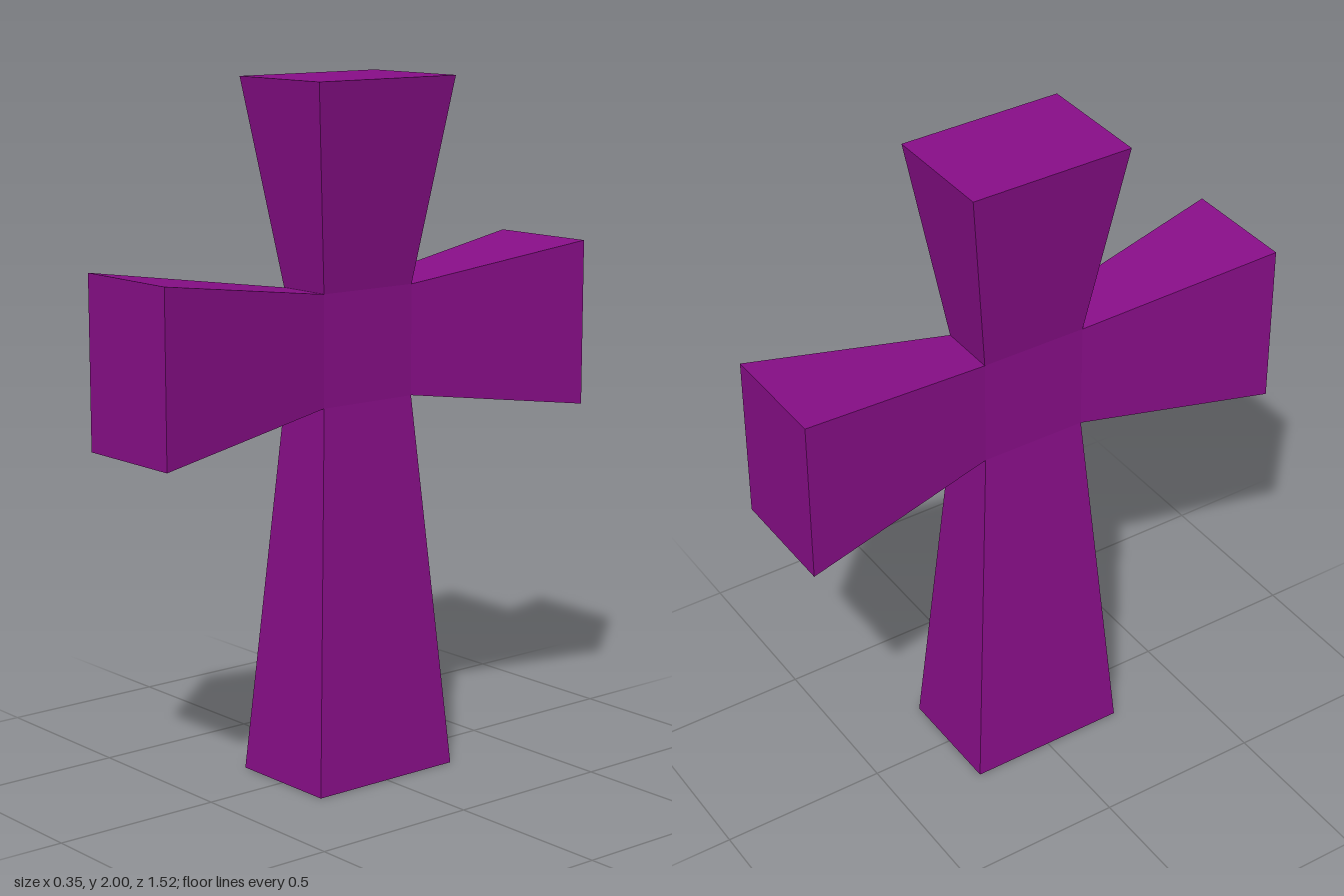
import * as THREE from 'three';

const INNER_X = 0.088, INNER = 0.16;  // half sizes of the crossing
const OUTER_X = 0.174, OUTER = 0.245; // half sizes of each arm's end
const CROSS_Y = 1.253;

// Keep only the listed box faces (0 +x, 1 -x, 2 +y, 3 -y, 4 +z, 5 -z)
function keepFaces(geo, faces) {
  const all = Array.from(geo.index.array);
  geo.setIndex(faces.flatMap((f) => all.slice(f * 6, f * 6 + 6)));
  geo.clearGroups();
  return geo;
}

// Arm that flares from the crossing to its end along +y
function flaredArm(length) {
  const geo = new THREE.BoxGeometry(2, length, 2).translate(0, length / 2, 0);
  const p = geo.attributes.position;
  for (let i = 0; i < p.count; i++) {
    const end = p.getY(i) > length / 2;
    p.setX(i, p.getX(i) * (end ? OUTER_X : INNER_X));
    p.setZ(i, p.getZ(i) * (end ? OUTER : INNER));
  }
  keepFaces(geo, [0, 1, 2, 4, 5]);
  geo.computeVertexNormals();
  return geo;
}

export function createModel() {
  const group = new THREE.Group();
  group.name = 'cross';
  const purple = new THREE.MeshStandardMaterial({ color: 0x870e87 });
  purple.name = 'purple';

  // Crossing, open where the arms join
  const crossing = new THREE.Mesh(
    keepFaces(new THREE.BoxGeometry(INNER_X * 2, INNER * 2, INNER * 2), [0, 1]), purple);
  crossing.name = 'crossing';
  crossing.position.y = CROSS_Y;
  group.add(crossing);

  // Four arms: name, length, turn about x
  const arms = [
    ['topArm', 2 - CROSS_Y - INNER, 0],
    ['frontArm', 0.76 - INNER, Math.PI / 2],
    ['lowerShaft', CROSS_Y - INNER, Math.PI],
    ['backArm', 0.76 - INNER, -Math.PI / 2],
  ];
  for (const [name, length, turn] of arms) {
    const arm = new THREE.Mesh(flaredArm(length), purple);
    arm.name = name;
    arm.rotation.x = turn;
    arm.position.set(0, CROSS_Y + Math.cos(turn) * INNER, Math.sin(turn) * INNER);
    group.add(arm);
  }
  return group;
}
